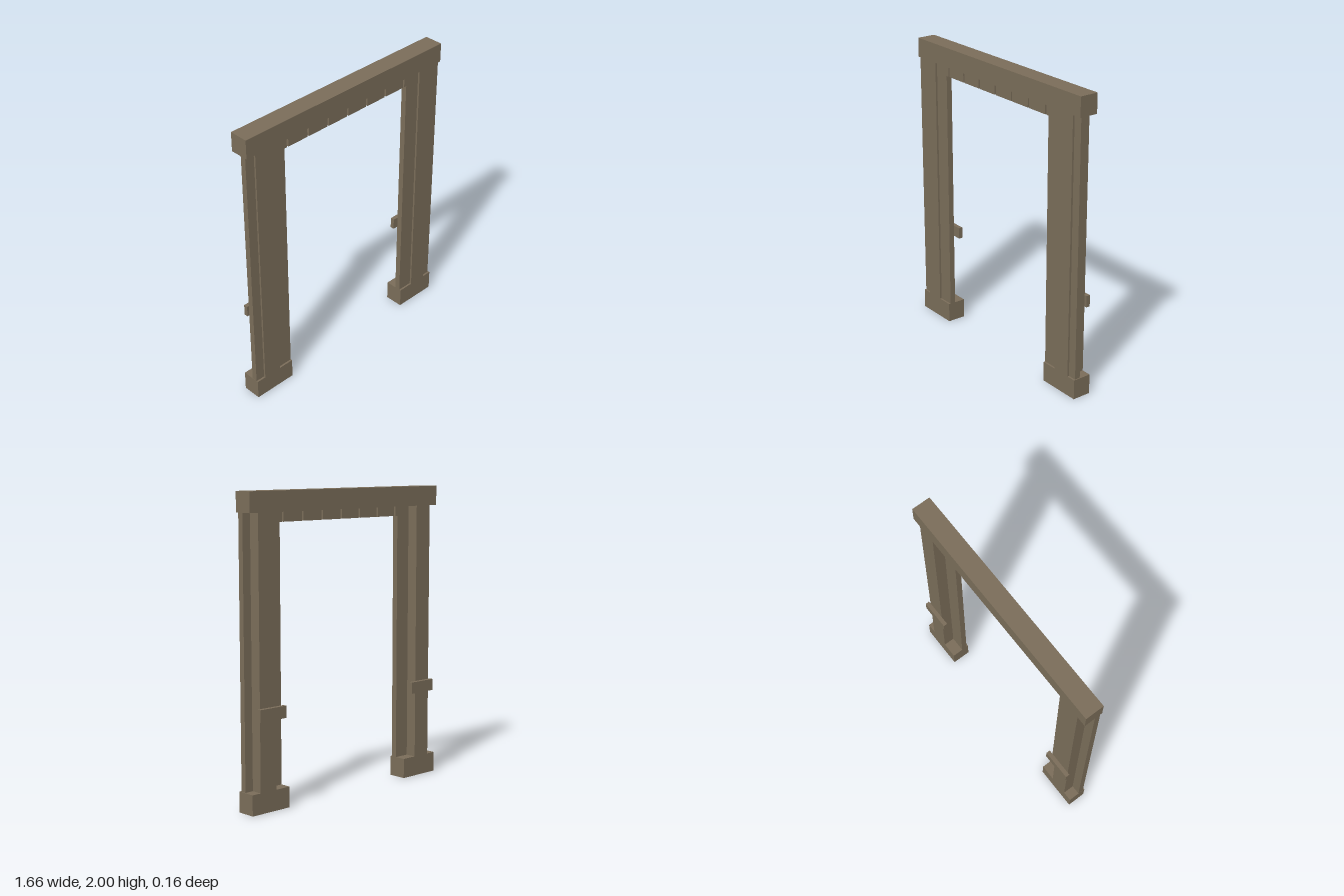
import * as THREE from 'three';

export function createModel() {
  const group = new THREE.Group();
  const wood = new THREE.MeshStandardMaterial({ color: 0x7a6d59 });
  wood.name = 'weathered wood';

  // Box given by its low and high limits on each axis
  function box(name, x0, x1, y0, y1, z0, z1) {
    const mesh = new THREE.Mesh(new THREE.BoxGeometry(Math.abs(x1 - x0), y1 - y0, z1 - z0), wood);
    mesh.position.set((x0 + x1) / 2, (y0 + y1) / 2, (z0 + z1) / 2);
    mesh.name = name;
    group.add(mesh);
  }

  const back = -0.05, front = 0.078;        // frame depth
  const plankBack = 0.026, plankFront = 0.065; // recessed plank depth
  const footTop = 0.135, beamBottom = 1.87;

  // Top beam
  box('topBeam', -0.83, 0.83, beamBottom, 2, back, front);

  // Each side: foot, post, planks beside the post, and rear bracket
  for (const s of [-1, 1]) {
    const side = s > 0 ? 'left' : 'right';
    const outer = s > 0 ? 0.823 : 0.829;
    box(side + 'Foot', s * 0.526, s * 0.83, 0, footTop, back, front);
    box(side + 'Post', s * 0.635, s * 0.764, footTop, beamBottom, back, front);
    box(side + 'InnerPlank', s * 0.526, s * 0.635, footTop, beamBottom, plankBack, plankFront);
    box(side + 'OuterPlank', s * 0.764, s * outer, footTop, beamBottom, plankBack, plankFront);
    box(side + 'Bracket', s * 0.572, s * 0.782, 0.59, 0.668, -0.078, back);
  }

  // Row of short plank ends hanging under the beam, with narrow gaps
  const pitch = 1 / 6, gap = 0.013, limit = 0.526;
  for (let i = -4; i < 4; i++) {
    const x0 = Math.max(i * pitch + gap / 2, -limit);
    const x1 = Math.min((i + 1) * pitch - gap / 2, limit);
    box('plankEnd' + (i + 5), x0, x1, 1.803, beamBottom, plankBack, plankFront);
  }

  return group;
}
